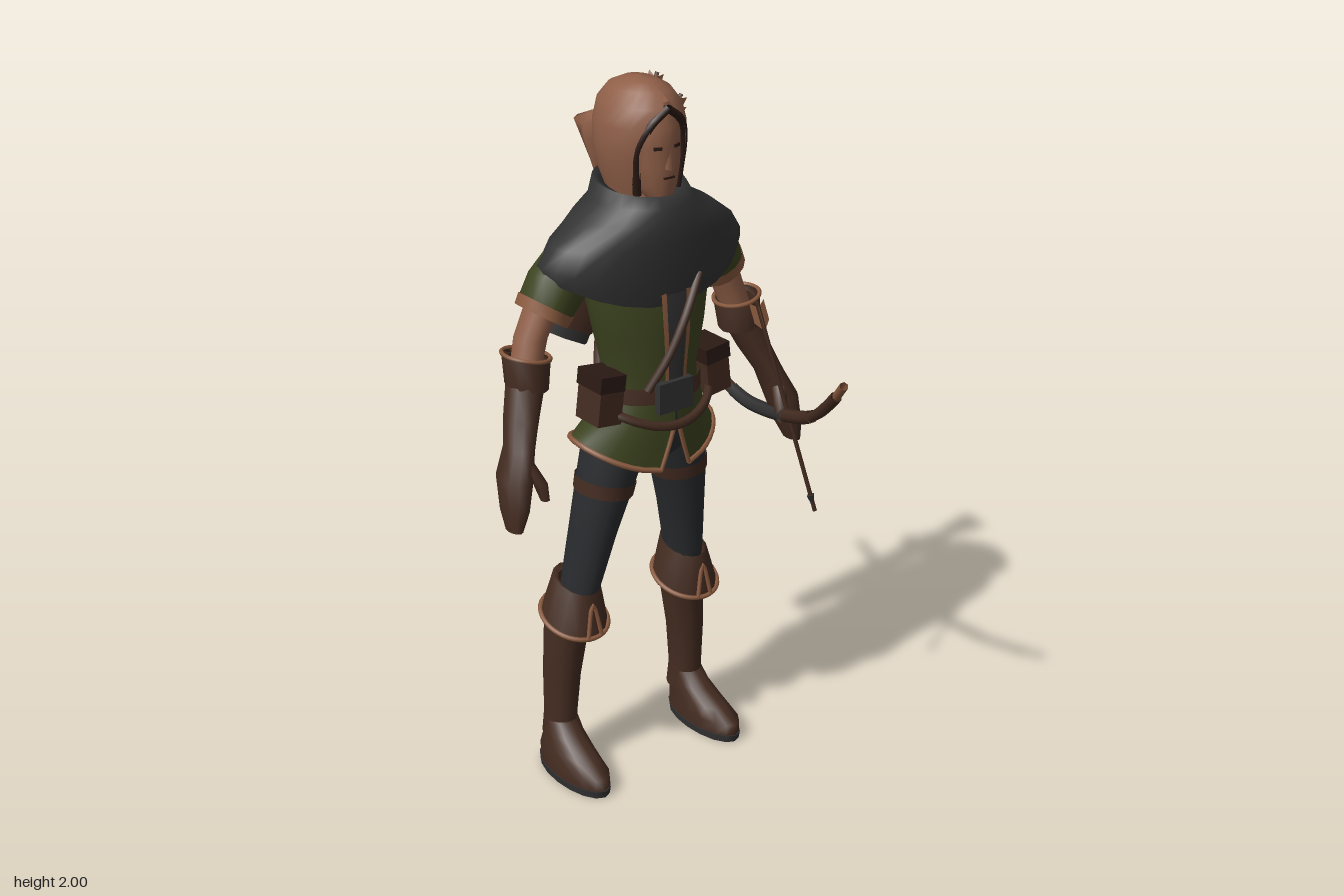
import * as THREE from 'three';

const make = (name, color, side = THREE.DoubleSide) => {
  const m = new THREE.MeshStandardMaterial({ color, side });
  m.name = name;
  return m;
};

const V = (p) => new THREE.Vector3(...p);
const FRONT = Math.PI / 2;
const gap = (g) => ({ t: [FRONT + g, FRONT + 2 * Math.PI - g] });

// Points of one oval section: [x, y, z, rx, rz, {sx, sz: slopes, bow: lift at the sides, t: arc}]
function ring([x, y, z, rx, rz, { sx = 0, sz = 0, bow = 0, t = [0, 2 * Math.PI] } = {}], n) {
  return Array.from({ length: n + 1 }, (_, i) => {
    const a = t[0] + (t[1] - t[0]) * i / n, c = Math.cos(a), s = Math.sin(a);
    return V([x + rx * c, y + sx * rx * c + sz * rz * s + bow * c * c, z + rz * s]);
  });
}

// Skin through sections listed from bottom to top
function loftGeometry(sections, n, capped) {
  const arc = sections.some((s) => s[5] && s[5].t);
  const m = arc ? n + 1 : n, pos = [], idx = [];
  const rings = sections.map((s) => ring(s, n).slice(0, m));
  rings.forEach((r) => r.forEach((p) => pos.push(p.x, p.y, p.z)));
  for (let i = 0; i < rings.length - 1; i++) for (let j = 0; j < n; j++) {
    const a = i * m + j, b = i * m + (j + 1) % m, c = a + m, d = b + m;
    idx.push(a, c, b, b, c, d);
  }
  if (capped && !arc) for (const [r, up] of [[rings[0], false], [rings[rings.length - 1], true]]) {
    const base = pos.length / 3;
    const mid = r.reduce((s, p) => s.add(p), V([0, 0, 0])).divideScalar(m);
    [mid, ...r].forEach((p) => pos.push(p.x, p.y, p.z));
    for (let j = 0; j < n; j++) {
      const a = base + 1 + j, b = base + 1 + (j + 1) % m;
      idx.push(base, up ? b : a, up ? a : b);
    }
  }
  const g = new THREE.BufferGeometry();
  g.setAttribute('position', new THREE.Float32BufferAttribute(pos, 3));
  g.setIndex(idx);
  g.computeVertexNormals();
  return g;
}

export function createModel() {
  const skin = make('skin and hair', 0x8f5f48), leather = make('brown leather', 0x442c21);
  const cloth = make('charcoal cloth', 0x323232), trousers = make('slate trousers', 0x2a2c2f);
  const green = make('green tunic', 0x3c431f), trim = make('tan trim', 0x8a5a3e);
  const dark = make('dark brown', 0x2b1a14);
  const model = new THREE.Group();

  const add = (parent, name, geo, mat) => {
    const mesh = new THREE.Mesh(geo, mat);
    mesh.name = name;
    parent.add(mesh);
    return mesh;
  };
  const loft = (parent, name, mat, sections, n = 16, capped = true) =>
    add(parent, name, loftGeometry(sections, n, capped), mat);
  const tube = (parent, name, mat, pts, r, closed = false, seg = 40) =>
    add(parent, name, new THREE.TubeGeometry(new THREE.CatmullRomCurve3(pts, closed), seg, r, 6, closed), mat);
  const hem = (parent, name, mat, section, r = 0.008) => {
    const arc = section[5] && section[5].t, pts = ring(section, 20);
    return tube(parent, name, mat, arc ? pts : pts.slice(0, -1), r, !arc);
  };
  const box = (parent, name, mat, size, at) => {
    const b = add(parent, name, new THREE.BoxGeometry(...size), mat);
    b.position.set(...at);
    return b;
  };

  // Tunic with front panel and open skirt
  const body = [[0, 1.17, 0, 0.138, 0.115], [0, 1.24, 0, 0.135, 0.115], [0, 1.34, 0, 0.162, 0.12],
    [0, 1.46, -0.01, 0.185, 0.125], [0, 1.56, -0.03, 0.19, 0.12]];
  loft(model, 'tunic', green, body);
  const patch = (name, mat, a, b, grow) => loft(model, name, mat,
    body.map(([x, y, z, rx, rz]) => [x, y, z, rx + grow, rz + grow, { t: [FRONT + a, FRONT + b] }]), 4);
  patch('frontPanel', cloth, -0.17, 0.17, 0.003);
  for (const s of [-1, 1]) patch('panelTrim', trim, s * 0.21 - 0.04, s * 0.21 + 0.04, 0.005);
  const hemSection = [0, 0.975, -0.03, 0.215, 0.148, { ...gap(0.22), bow: 0.065, sz: -0.08 }];
  loft(model, 'skirt', green, [hemSection, [0, 1.1, -0.01, 0.168, 0.13, gap(0.02)],
    [0, 1.18, 0, 0.138, 0.116, gap(0)]], 24);
  hem(model, 'skirtTrim', trim, hemSection);
  for (const s of [-1, 1]) tube(model, 'openingTrim', trim,
    [V([s * 0.047, 0.965, 0.115]), V([s * 0.025, 1.03, 0.119]), V([s * 0.004, 1.1, 0.122])], 0.006, false, 6);

  // Belts, buckle, pouches and chest strap
  loft(model, 'waistBelt', leather, [[0, 1.16, 0, 0.148, 0.123], [0, 1.205, 0, 0.145, 0.122]], 20, false);
  hem(model, 'hipBelt', leather, [0, 1.095, -0.005, 0.178, 0.135, { bow: 0.06 }], 0.013);
  box(model, 'buckle', cloth, [0.11, 0.085, 0.02], [-0.01, 1.18, 0.122]);
  for (const s of [-1, 1]) {
    const pouch = box(model, 'pouch', leather, [0.075, 0.13, 0.1], [s * 0.178, 1.185, 0.025]);
    pouch.rotation.z = s * 0.12;
    const flap = box(model, 'pouchFlap', dark, [0.08, 0.045, 0.106], [s * 0.174, 1.235, 0.025]);
    flap.rotation.z = s * 0.12;
  }
  tube(model, 'chestStrap', leather,
    [V([-0.08, 1.2, 0.1]), V([-0.03, 1.29, 0.122]), V([0.02, 1.39, 0.128]), V([0.08, 1.5, 0.11])], 0.012, false, 12);
  tube(model, 'backStrap', leather,
    [V([-0.11, 1.2, -0.08]), V([-0.07, 1.3, -0.122]), V([0, 1.45, -0.145])], 0.014, false, 10);

  // Shoulder cape with rolled neck
  loft(model, 'cape', cloth, [
    [0, 1.43, -0.035, 0.3, 0.15, { bow: 0.085 }], [0, 1.5, -0.035, 0.312, 0.157, { bow: 0.05 }],
    [0, 1.6, -0.03, 0.275, 0.155], [0, 1.655, -0.03, 0.2, 0.15], [0, 1.69, -0.035, 0.135, 0.142],
    [0, 1.73, -0.04, 0.118, 0.13, { sz: -0.1 }], [0, 1.725, -0.035, 0.1, 0.11, { sz: -0.2 }],
    [0, 1.66, -0.03, 0.075, 0.085, { sz: -0.2 }]], 24, false);

  // Head: face, hair shell, lining and ponytail
  loft(model, 'neck', skin, [[0, 1.58, -0.03, 0.06, 0.06], [0, 1.76, -0.02, 0.05, 0.055]], 12);
  loft(model, 'face', skin, [[0, 1.7, 0.04, 0.03, 0.038], [0, 1.735, 0.025, 0.055, 0.06],
    [0, 1.79, 0.01, 0.072, 0.077], [0, 1.84, 0.005, 0.077, 0.078], [0, 1.89, 0, 0.078, 0.085], [0, 1.95, -0.01, 0.06, 0.07]]);
  const nose = add(model, 'nose', new THREE.ConeGeometry(0.014, 0.055, 4), skin);
  nose.position.set(0, 1.812, 0.088);
  nose.rotation.x = 0.2;
  box(model, 'mouth', dark, [0.032, 0.005, 0.006], [0, 1.762, 0.085]);
  for (const s of [-1, 1]) {
    box(model, 'eye', dark, [0.022, 0.008, 0.006], [s * 0.03, 1.84, 0.077]).rotation.y = s * 0.35;
    tube(model, 'hairLining', dark, [V([0, 1.94, 0.078]), V([s * 0.045, 1.905, 0.072]),
      V([s * 0.072, 1.84, 0.05]), V([s * 0.07, 1.77, 0.04]), V([s * 0.064, 1.715, 0.035])], 0.011, false, 16);
  }
  loft(model, 'hair', skin, [[0, 1.71, -0.035, 0.085, 0.1, gap(0.85)], [0, 1.77, -0.04, 0.104, 0.122, gap(0.72)],
    [0, 1.83, -0.04, 0.113, 0.132, gap(0.64)], [0, 1.89, -0.04, 0.112, 0.134, gap(0.5)],
    [0, 1.94, -0.04, 0.098, 0.124, gap(0.16)], [0, 1.975, -0.04, 0.072, 0.094, gap(0)],
    [0, 1.994, -0.04, 0.038, 0.05, gap(0)], [0, 2, -0.04, 0.001, 0.001, gap(0)]], 24);
  loft(model, 'ponytail', skin, [[0, 1.67, -0.2, 0.01, 0.012], [0, 1.74, -0.205, 0.035, 0.025],
    [0, 1.8, -0.22, 0.045, 0.05], [0, 1.835, -0.23, 0.042, 0.08], [0, 1.86, -0.2, 0.032, 0.05],
    [0, 1.885, -0.17, 0.014, 0.02]], 8);

  // Limbs, mirrored left and right
  loft(model, 'hips', trousers, [[0, 0.955, -0.035, 0.06, 0.08], [0, 1, -0.03, 0.15, 0.115], [0, 1.12, -0.01, 0.14, 0.11]]);
  for (const s of [1, -1]) {
    const side = new THREE.Group();
    side.name = s > 0 ? 'leftLimbs' : 'rightLimbs';
    side.scale.x = s;
    model.add(side);

    loft(side, 'trouserLeg', trousers, [[0.19, 0.5, -0.095, 0.045, 0.06], [0.177, 0.6, -0.075, 0.047, 0.07],
      [0.152, 0.75, -0.055, 0.06, 0.077], [0.123, 0.9, -0.035, 0.077, 0.087], [0.09, 1.02, -0.03, 0.085, 0.1]]);
    loft(side, 'thighStrap', leather, [[0.128, 0.875, -0.037, 0.078, 0.088, { sx: 0.15 }],
      [0.121, 0.915, -0.034, 0.08, 0.091, { sx: 0.15 }]], 16, false);

    // Boot, turned-down cuff and sole
    loft(side, 'bootShaft', leather, [[0.225, 0.1, -0.12, 0.05, 0.06], [0.225, 0.17, -0.12, 0.045, 0.052],
      [0.22, 0.3, -0.117, 0.05, 0.06], [0.205, 0.44, -0.113, 0.062, 0.066], [0.195, 0.55, -0.1, 0.058, 0.068]]);
    loft(side, 'bootCuff', leather, [[0.195, 0.485, -0.087, 0.092, 0.097, { sz: -0.33 }],
      [0.187, 0.6, -0.083, 0.058, 0.08, { sz: -0.2 }], [0.185, 0.59, -0.083, 0.046, 0.066, { sz: -0.2 }]], 12, false);
    hem(side, 'cuffTrim', trim, [0.195, 0.489, -0.087, 0.092, 0.097, { sz: -0.33 }], 0.007);
    tube(side, 'cuffSeam', trim, [V([0.17, 0.46, 0.008]), V([0.193, 0.555, -0.001]), V([0.215, 0.46, 0.008])], 0.006, false, 12);
    loft(side, 'foot', leather, [[0.235, 0.02, -0.04, 0.062, 0.147], [0.235, 0.055, -0.04, 0.062, 0.147],
      [0.232, 0.085, -0.065, 0.054, 0.115], [0.228, 0.12, -0.1, 0.049, 0.078], [0.225, 0.16, -0.12, 0.045, 0.054]]);
    loft(side, 'sole', cloth, [[0.235, 0, -0.04, 0.062, 0.146], [0.235, 0.022, -0.04, 0.065, 0.15]]);

    // Sleeve, arm, gauntlet and hand
    loft(side, 'sleeve', green, [[0.29, 0.0 + 1.42, -0.07, 0.058, 0.078, { sx: 0.65 }],
      [0.25, 1.49, -0.06, 0.068, 0.082, { sx: 0.6 }], [0.2, 1.565, -0.05, 0.06, 0.075, { sx: 0.5 }]]);
    loft(side, 'sleeveCuff', trim, [[0.295, 1.41, -0.07, 0.06, 0.08, { sx: 0.65 }],
      [0.28, 1.437, -0.068, 0.063, 0.083, { sx: 0.65 }]], 16, false);
    loft(side, 'arm', skin, [[0.355, 1.27, -0.062, 0.04, 0.045], [0.325, 1.36, -0.075, 0.043, 0.05],
      [0.28, 1.46, -0.07, 0.045, 0.055]], 12);
    loft(side, 'gauntletCuff', leather, [[0.355, 1.235, -0.055, 0.055, 0.062, { sx: 0.2 }],
      [0.35, 1.32, -0.062, 0.063, 0.066, { sx: 0.2 }], [0.35, 1.31, -0.062, 0.045, 0.05, { sx: 0.2 }]], 10, false);
    hem(side, 'gauntletTrim', trim, [0.35, 1.318, -0.062, 0.062, 0.065, { sx: 0.2 }], 0.006);
    loft(side, 'gauntletHand', leather, [[0.472, 0.895, 0.045, 0.018, 0.032], [0.462, 0.95, 0.035, 0.034, 0.05],
      [0.448, 1.03, 0.018, 0.043, 0.062], [0.42, 1.1, 0, 0.037, 0.052], [0.39, 1.17, -0.03, 0.045, 0.054],
      [0.358, 1.25, -0.055, 0.05, 0.057]], 12);
    loft(side, 'thumb', leather, [[0.4, 0.975, 0.083, 0.012, 0.014], [0.405, 1.02, 0.07, 0.019, 0.022],
      [0.425, 1.07, 0.035, 0.022, 0.026]], 8);
  }

  // Arrow from point a to point b, with feathers at b
  const arrow = (parent, a, b, tip) => {
    const from = V(a), dir = V(b).sub(from), len = dir.length();
    const g = new THREE.Group();
    g.name = 'arrow';
    g.position.copy(from);
    g.quaternion.setFromUnitVectors(V([0, 1, 0]), dir.normalize());
    add(g, 'arrowShaft', new THREE.CylinderGeometry(0.006, 0.006, len, 6).translate(0, len / 2, 0), leather);
    const vane = new THREE.Shape([[0, 0], [0.024, 0.025], [0.024, 0.085], [0, 0.07]].map((p) => new THREE.Vector2(...p)));
    for (let i = 0; i < 3; i++) {
      const f = add(g, 'feather', new THREE.ShapeGeometry(vane), trim);
      f.position.y = len - 0.085;
      f.rotation.y = i * Math.PI * 2 / 3;
    }
    if (tip) add(g, 'arrowHead', new THREE.ConeGeometry(0.013, 0.05, 4).rotateX(Math.PI).translate(0, 0.025, 0), cloth);
    parent.add(g);
  };

  // Six-sided quiver slung across the back
  const quiver = new THREE.Group();
  quiver.name = 'quiver';
  quiver.position.set(-0.097, 1.245, -0.238);
  quiver.rotation.z = -Math.atan2(0.257, 0.495);
  model.add(quiver);
  const prism = (name, mat, y0, y1, k) => {
    const p = add(quiver, name, new THREE.CylinderGeometry(k, k, y1 - y0, 6).rotateY(Math.PI / 6)
      .toNonIndexed().scale(0.078 / 0.866, 1, 0.047), mat);
    p.position.y = (y0 + y1) / 2;
    p.scale.x = 0.95;
  };
  prism('quiverBody', leather, 0.03, 0.55, 0.92);
  prism('quiverBase', cloth, 0, 0.04, 0.85);
  prism('quiverLowerBand', leather, 0.06, 0.11, 1);
  prism('quiverBand', cloth, 0.38, 0.42, 0.97);
  prism('quiverRim', leather, 0.5, 0.556, 1);
  prism('quiverRimTop', trim, 0.553, 0.559, 1);
  prism('quiverMouth', cloth, 0.555, 0.561, 0.7);
  [[-0.03, 0.012, 0.72, -0.06], [0, -0.015, 0.75, -0.02], [0.01, 0.015, 0.72, 0.03],
    [0.03, -0.01, 0.7, 0.06], [-0.012, -0.01, 0.69, -0.02]].forEach(([x, z, y, lean]) =>
    arrow(quiver, [x, 0.45, z], [x + lean, y, z * 1.8], false));

  // Bow and arrow in the left hand
  const bow = new THREE.CatmullRomCurve3([[0.27, 1.25, 0.47], [0.305, 1.17, 0.39], [0.36, 1.06, 0.25], [0.4, 1, 0.1],
    [0.43, 0.965, -0.03], [0.445, 0.955, -0.13], [0.465, 0.975, -0.26], [0.483, 1.03, -0.38], [0.49, 1.065, -0.47]].map(V)).getPoints(48);
  for (const [name, mat, a, b, r] of [['bowTip', trim, 0, 4, 0.012], ['bowLimb', leather, 4, 12, 0.016],
    ['bowLimb', leather, 12, 18, 0.019], ['bowGrip', cloth, 18, 33, 0.02], ['bowLimb', leather, 33, 38, 0.018],
    ['bowLimb', leather, 38, 44, 0.015], ['bowTip', trim, 44, 48, 0.012]]) {
    tube(model, name, mat, bow.slice(a, b + 1), r, false, 10);
  }
  arrow(model, [0.463, 0.71, 0.165], [0.355, 1.32, 0.02], true);
  return model;
}
